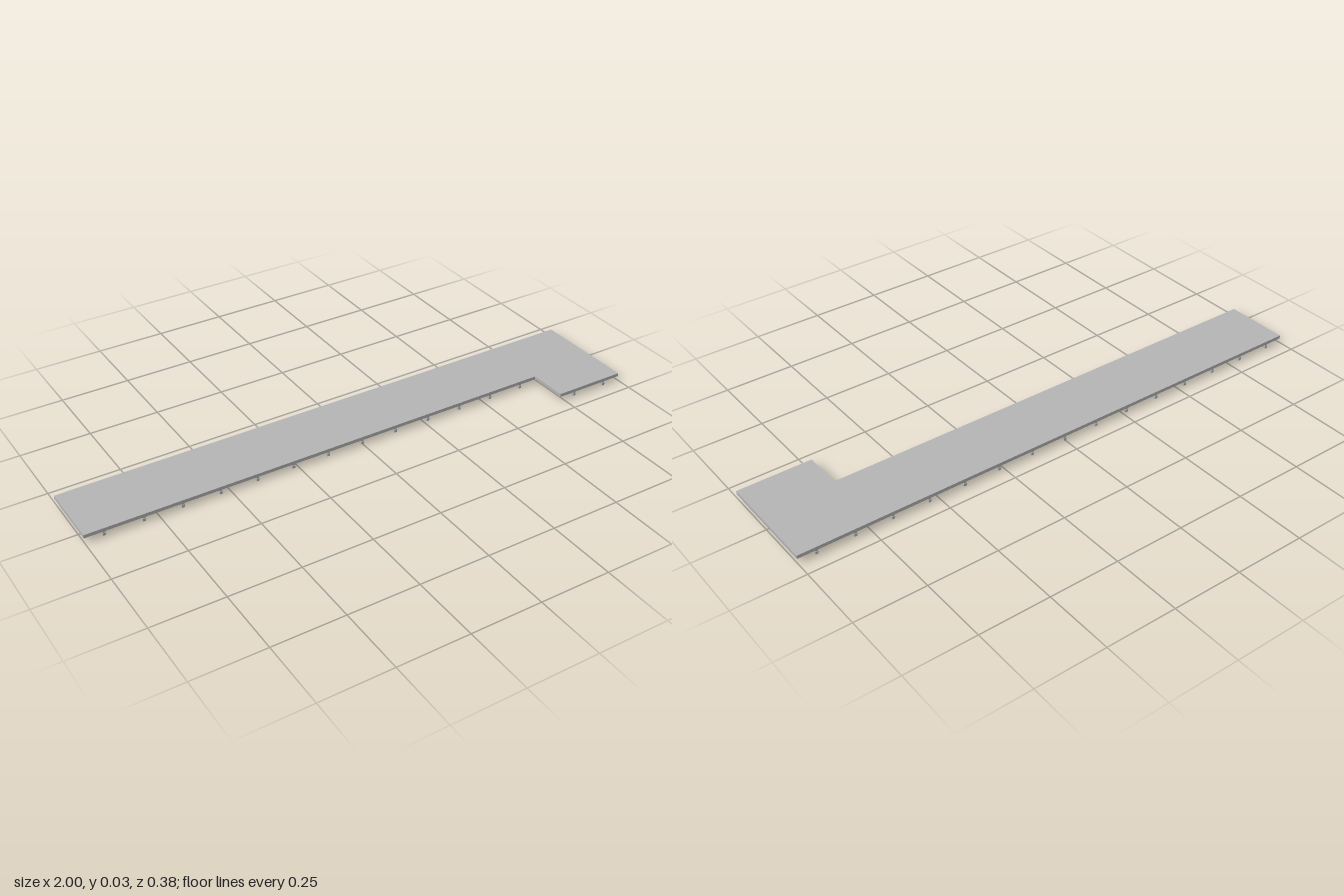
import * as THREE from 'three';

export function createModel() {
  const model = new THREE.Group();
  model.name = 'deckPlatform';
  const concrete = new THREE.MeshStandardMaterial({ color: 0xb4b4b4 });
  concrete.name = 'concrete grey';

  const back = -0.19, front = 0.19, innerFront = 0.048;
  const notchX = 0.733, slabBottom = 0.0165, slabTop = 0.0285, beamTop = 0.0095;

  // L-shaped slab, drawn in plan (shape y = -z) and laid flat
  const plan = new THREE.Shape([
    [-1, -innerFront], [notchX, -innerFront], [notchX, -front],
    [1, -front], [1, -back], [-1, -back],
  ].map(([x, y]) => new THREE.Vector2(x, y)));
  const slabGeometry = new THREE.ExtrudeGeometry(plan, {
    depth: slabTop - slabBottom, bevelEnabled: false,
  });
  slabGeometry.rotateX(-Math.PI / 2);
  const slab = new THREE.Mesh(slabGeometry, concrete);
  slab.name = 'slab';
  slab.position.y = slabBottom;
  model.add(slab);

  function addBox(parent, name, w, h, d, x, y, z) {
    const mesh = new THREE.Mesh(new THREE.BoxGeometry(w, h, d), concrete);
    mesh.name = name;
    mesh.position.set(x, y, z);
    parent.add(mesh);
  }

  // Cross beams on the ground, each carrying the slab on short posts at its ends
  const count = 15, spacing = 2 / count, postSize = 0.009;
  for (let i = 0; i < count; i++) {
    const x = -1 + spacing * (i + 0.5);
    const end = (x > notchX ? front : innerFront) - 0.001;
    const start = back + 0.001;
    const support = new THREE.Group();
    support.name = 'support';
    addBox(support, 'crossBeam', 0.01, beamTop, end - start, x, beamTop / 2, (start + end) / 2);
    for (const z of [start + 0.0065, end - 0.0065]) {
      addBox(support, 'post', postSize, slabBottom - beamTop, postSize, x, (slabBottom + beamTop) / 2, z);
    }
    model.add(support);
  }
  return model;
}
